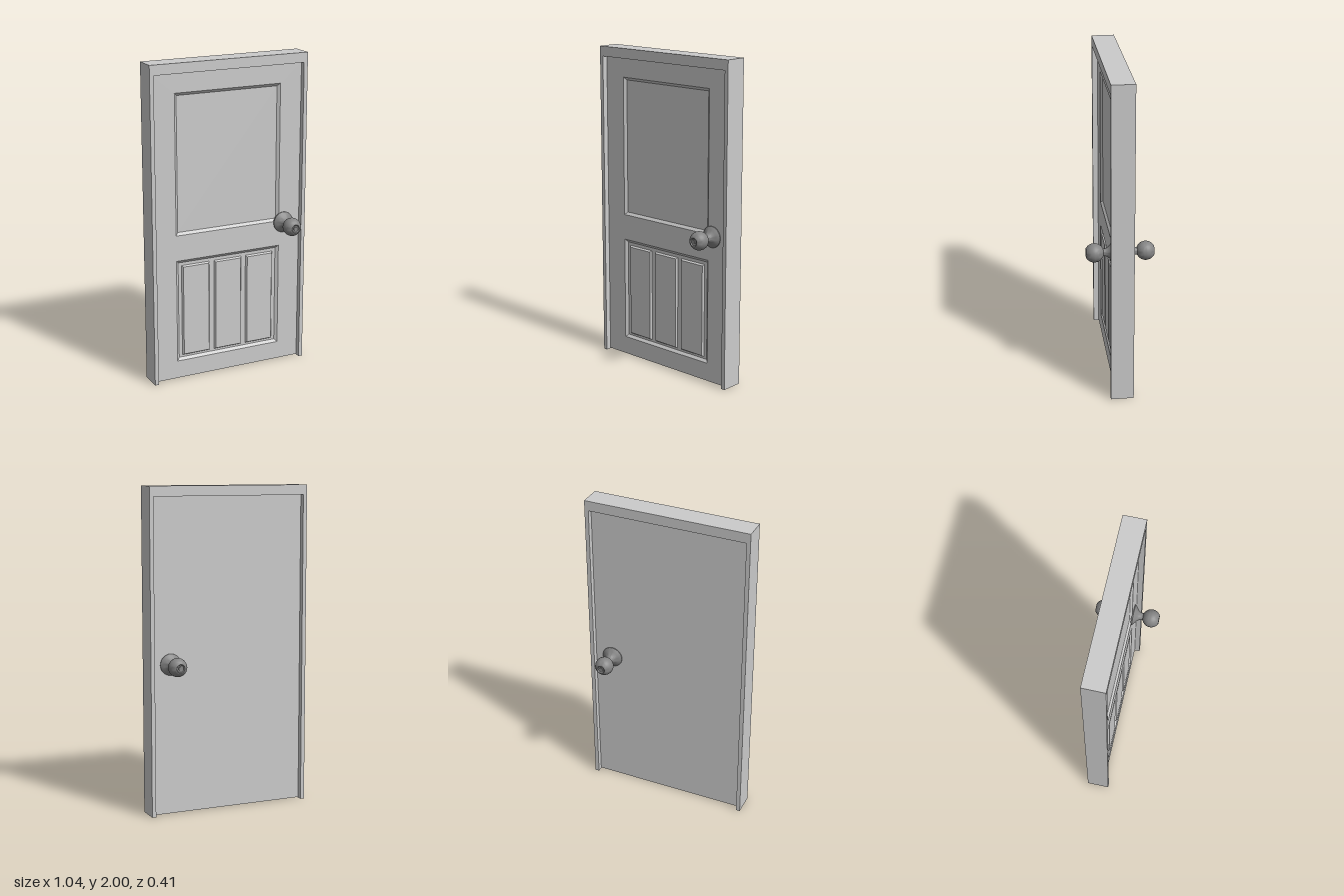
import * as THREE from 'three';
import { toCreasedNormals } from 'three/addons/utils/BufferGeometryUtils.js';

const FACE = 0.036;   // front of the door leaf
const FLOOR = 0.022;  // floor of the recessed panels

const wood = new THREE.MeshStandardMaterial({ color: 0xcccccc });
const metal = new THREE.MeshStandardMaterial({ color: 0x858585 });

function add(group, name, geometry, material = wood) {
  const mesh = new THREE.Mesh(geometry, material);
  mesh.name = name;
  group.add(mesh);
  return mesh;
}

// Corner points of a rectangle [x0, y0, x1, y1], counter-clockwise
function corners([x0, y0, x1, y1], inset = 0) {
  return [
    [x0 + inset, y0 + inset], [x1 - inset, y0 + inset],
    [x1 - inset, y1 - inset], [x0 + inset, y1 - inset],
  ].map(([x, y]) => new THREE.Vector2(x, y));
}

// Sloping border from the outer rectangle at z0 to an inset one at z1, with a flat centre
function bevelledPanel(rect, inset, z0, z1) {
  const pos = [];
  for (const [ins, z] of [[0, z0], [inset, z1]]) {
    for (const p of corners(rect, ins)) pos.push(p.x, p.y, z);
  }
  const index = [4, 5, 6, 4, 6, 7];
  for (let i = 0; i < 4; i++) {
    const j = (i + 1) % 4;
    index.push(i, j, j + 4, i, j + 4, i + 4);
  }
  const g = new THREE.BufferGeometry();
  g.setAttribute('position', new THREE.Float32BufferAttribute(pos, 3));
  g.setIndex(index);
  const flat = g.toNonIndexed();
  flat.computeVertexNormals();
  return flat;
}

function extrude(shape, z0, z1) {
  return new THREE.ExtrudeGeometry(shape, { depth: z1 - z0, bevelEnabled: false }).translate(0, 0, z0);
}

// Round knob on a flared rose, turned about the z axis
function knobGeometry() {
  const pts = [
    [0.066, FACE - 0.004], [0.066, FACE + 0.005], [0.06, 0.047], [0.048, 0.056],
    [0.036, 0.066], [0.027, 0.077], [0.023, 0.09],
  ];
  const r = 0.057, cz = 0.153;
  const a0 = Math.asin(0.023 / r), a1 = Math.PI - Math.asin(0.029 / r);
  for (let i = 0; i <= 14; i++) {
    const a = a0 + (a1 - a0) * i / 14;
    pts.push([r * Math.sin(a), cz - r * Math.cos(a)]);
  }
  // dished end with a small button
  pts.push([0.026, 0.203], [0.021, 0.196], [0.012, 0.194], [0.011, 0.2], [0, 0.2]);
  const g = new THREE.LatheGeometry(pts.map(([x, y]) => new THREE.Vector2(x, y)), 32);
  return toCreasedNormals(g.rotateX(Math.PI / 2), 0.6);
}

export function createModel() {
  const model = new THREE.Group();
  model.name = 'door';

  // Jambs and head in one piece
  const frame = new THREE.Shape([
    [-0.52, 0], [-0.495, 0], [-0.495, 1.938], [0.495, 1.938],
    [0.495, 0], [0.52, 0], [0.52, 2], [-0.52, 2],
  ].map(([x, y]) => new THREE.Vector2(x, y)));
  add(model, 'doorFrame', extrude(frame, -0.07, 0.07));

  // Leaf: plain back, front layer with two openings
  const leaf = new THREE.Group();
  leaf.name = 'doorLeaf';
  model.add(leaf);
  const leafRect = [-0.495, 0.004, 0.495, 1.938];
  const recesses = { upperRecess: [-0.352, 0.94, 0.352, 1.817], lowerRecess: [-0.352, 0.118, 0.352, 0.778] };
  const front = new THREE.Shape(corners(leafRect));
  for (const rect of Object.values(recesses)) front.holes.push(new THREE.Path(corners(rect)));
  add(leaf, 'leafFront', extrude(front, 0.01, FACE));
  add(leaf, 'leafBack', extrude(new THREE.Shape(corners(leafRect)), -FACE, 0.01));
  for (const [name, rect] of Object.entries(recesses)) {
    add(leaf, name, bevelledPanel(rect, 0.017, FACE, FLOOR));
  }

  // Three raised panels in the lower recess
  for (let i = -1; i <= 1; i++) {
    const x = i * 0.219;
    add(leaf, 'raisedPanel', bevelledPanel([x - 0.094, 0.148, x + 0.094, 0.741], 0.008, FLOOR, FACE - 0.002));
  }

  // Knobs on both faces
  const knob = knobGeometry();
  for (const [name, turn] of [['frontKnob', 0], ['backKnob', Math.PI]]) {
    const mesh = add(model, name, knob, metal);
    mesh.position.set(0.382, 0.93, 0);
    mesh.rotation.y = turn;
  }
  return model;
}
